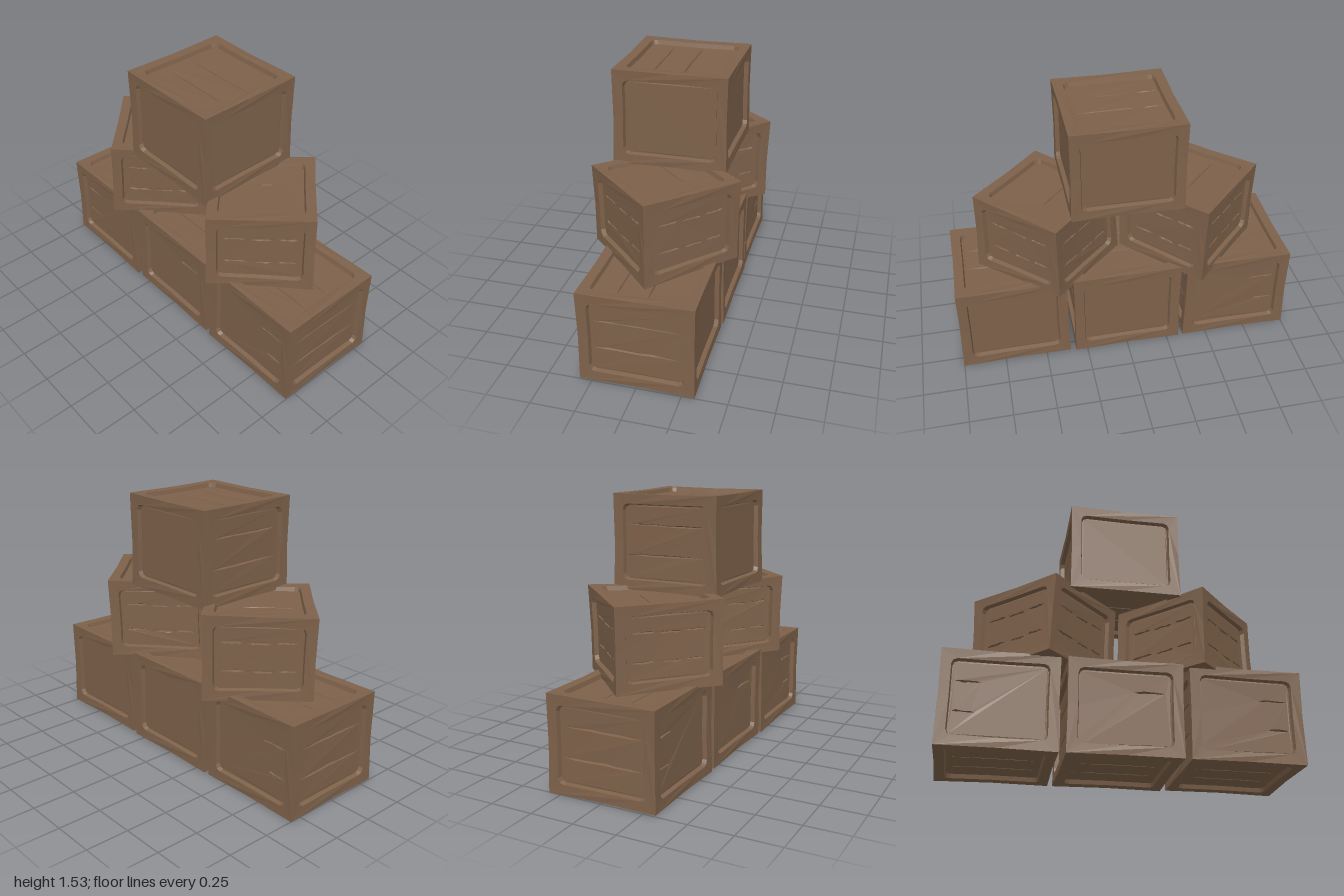
import * as THREE from 'three';
import { mergeGeometries } from 'three/addons/utils/BufferGeometryUtils.js';

const FRAME = 0.055, RECESS = 0.024, CRACK = 0.014;

function seeded(seed) {
  let s = seed * 7919 + 17;
  return () => (s = (s * 16807) % 2147483647) / 2147483647;
}

const V = (x, y, z = 0) => new THREE.Vector3(x, y, z);

// Band of quads joining two closed loops of equal length
function strip(a, b) {
  const pos = [];
  a.forEach((p, i) => {
    const j = (i + 1) % a.length;
    for (const q of [p, a[j], b[j], p, b[j], b[i]]) pos.push(q.x, q.y, q.z);
  });
  const g = new THREE.BufferGeometry();
  g.setAttribute('position', new THREE.Float32BufferAttribute(pos, 3));
  return g;
}

// Flat sheet with holes at a given depth
function sheet(outline, holes, depth) {
  const shape = new THREE.Shape(outline.map(p => new THREE.Vector2(p.x, p.y)));
  holes.forEach(h => shape.holes.push(new THREE.Path(h.map(p => new THREE.Vector2(p.x, p.y)))));
  const g = new THREE.ShapeGeometry(shape).toNonIndexed();
  g.deleteAttribute('uv');
  g.deleteAttribute('normal');
  return g.translate(0, 0, depth);
}

// Rectangle with cut corners and a middle point on each side
function cutRect(w, h, c, z) {
  return [[-w, 0], [-w, -h + c], [-w + c * 0.3, -h + c * 0.3], [-w + c, -h], [0, -h], [w - c, -h],
    [w - c * 0.3, -h + c * 0.3], [w, -h + c], [w, 0], [w, h - c], [w - c * 0.3, h - c * 0.3], [w - c, h],
    [0, h], [-w + c, h], [-w + c * 0.3, h - c * 0.3], [-w, h - c]].map(p => V(p[0], p[1], z));
}

// One crate side: rim, sloped recess, plank panel and V-shaped cracks
function crateFace(w, h, cracks, rnd) {
  const outer = [[-w, 0], [-w, -h], [0, -h], [w, -h], [w, 0], [w, h], [0, h], [-w, h]].map(p => V(p[0], p[1]));
  const inner = cutRect(w - FRAME, h - FRAME, 0.032, 0);
  const floor = cutRect(w - FRAME - 0.006, h - FRAME - 0.006, 0.03, -RECESS);
  const parts = [sheet(outer, [inner], 0), strip(inner, floor)];
  const holes = [];
  for (const [v, from, to] of cracks) {
    const n = 6, half = w - FRAME - 0.012, low = [], high = [];
    for (let i = 0; i <= n; i++) {
      const u = half * (from + (to - from) * i / n);
      const t = i === 0 || i === n ? 0 : 0.003 + rnd() * 0.004;
      const mid = v + (rnd() - 0.5) * 0.005;
      low.push(V(u, mid - t, -RECESS));
      if (t) high.unshift(V(u, mid + t, -RECESS));
    }
    const loop = [...low, ...high];
    const valley = loop.map((p, i) => {
      const k = i <= n ? i : 2 * n - i;
      const opposite = k === 0 || k === n ? p : loop[2 * n - k];
      return V(p.x, (low[k].y + opposite.y) / 2, -RECESS - (k % n ? CRACK : 0));
    });
    holes.push(loop);
    parts.push(strip(loop, valley));
  }
  parts.push(sheet(floor, holes, -RECESS));
  return mergeGeometries(parts);
}

// Across, up and outward axes of each side
const SIDES = {
  front: [V(1, 0, 0), V(0, 1, 0), V(0, 0, 1)],
  back: [V(-1, 0, 0), V(0, 1, 0), V(0, 0, -1)],
  plusX: [V(0, 0, -1), V(0, 1, 0), V(1, 0, 0)],
  minusX: [V(0, 0, 1), V(0, 1, 0), V(-1, 0, 0)],
  top: [V(1, 0, 0), V(0, 0, -1), V(0, 1, 0)],
  bottom: [V(1, 0, 0), V(0, 0, 1), V(0, -1, 0)],
};

function crateGeometry([sx, sy, sz], cracks, seed, wobble) {
  const rnd = seeded(seed), half = V(sx / 2, sy / 2, sz / 2);
  const faces = Object.entries(SIDES).map(([name, [u, v, n]]) => {
    const size = axis => Math.abs(axis.dot(half)) || 0;
    const g = crateFace(size(u), size(v), cracks[name] || [], rnd);
    return g.applyMatrix4(new THREE.Matrix4().makeBasis(u, v, n).setPosition(n.clone().multiplyScalar(size(n))));
  });
  const g = mergeGeometries(faces);

  // Hand-hewn warp: corners shift a little, edges and sides bow inward
  const corners = Array.from({ length: 8 }, () => V(rnd() - 0.5, rnd() - 0.5, rnd() - 0.5).multiplyScalar(wobble));
  const p = g.attributes.position, q = V(0, 0, 0);
  for (let i = 0; i < p.count; i++) {
    q.fromBufferAttribute(p, i);
    const r = q.clone().divide(half);
    q.multiplyScalar(1 - 0.013 * (3 - r.lengthSq()));
    corners.forEach((c, k) => {
      const weight = (1 + (k & 1 ? r.x : -r.x)) * (1 + (k & 2 ? r.y : -r.y)) * (1 + (k & 4 ? r.z : -r.z)) / 8;
      q.addScaledVector(c, weight);
    });
    p.setXYZ(i, q.x, q.y, q.z);
  }
  g.computeVertexNormals();
  return g;
}

export function createModel() {
  const wood = new THREE.MeshStandardMaterial({ color: 0x7d614a });
  wood.name = 'brownWood';
  const model = new THREE.Group();
  model.name = 'crateStack';

  // Crack layouts: height on the side, then start and end as fractions of the half width
  const full = [[0.1, -0.97, 0.97], [-0.075, -0.97, 0.97]];
  const lid = [[0.05, -0.97, 0.97], [-0.12, -0.97, 0.97]];
  const leftShort = [[0.1, -0.97, -0.4], [-0.075, -0.97, -0.5]];
  const rightShort = [[0.1, 0.3, 0.97], [-0.075, 0.5, 0.97]];
  const broken = [[0.085, -0.9, -0.35], [0.08, -0.25, 0.3], [0.085, 0.4, 0.9],
    [-0.08, -0.9, -0.3], [-0.085, -0.15, 0.35], [-0.08, 0.45, 0.9]];
  const ends = { plusX: full, minusX: full, top: lid, bottom: lid };
  const around = { front: broken, back: broken, plusX: broken, minusX: broken, top: [[0.06, -0.9, 0.5]], bottom: lid };

  const base = [0.643, 0.548, 0.643], turned = [0.592, 0.478, 0.592];
  const crates = [
    ['lowerCrateRight', base, [-0.679, 0.277, 0], 0, { ...ends, front: leftShort, back: rightShort }, 0.008],
    ['lowerCrateMiddle', base, [-0.002, 0.277, 0], 0, { ...ends, front: [[0.1, 0.2, 0.9]] }, 0.008],
    ['lowerCrateLeft', base, [0.677, 0.277, 0], 0, { ...ends, front: rightShort }, 0.008],
    ['turnedCrateRight', turned, [-0.425, 0.768, 0], Math.PI / 4, around, 0.024],
    ['turnedCrateLeft', turned, [0.42, 0.768, 0], Math.PI / 4, around, 0.024],
    ['topCrate', base, [-0.002, 1.257, 0], 0, { minusX: full, top: lid, bottom: lid }, 0.008],
  ];
  crates.forEach(([name, size, position, turn, cracks, wobble], i) => {
    const mesh = new THREE.Mesh(crateGeometry(size, cracks, i + 3, wobble), wood);
    mesh.name = name;
    mesh.position.set(...position);
    mesh.rotation.y = turn;
    model.add(mesh);
  });
  return model;
}
